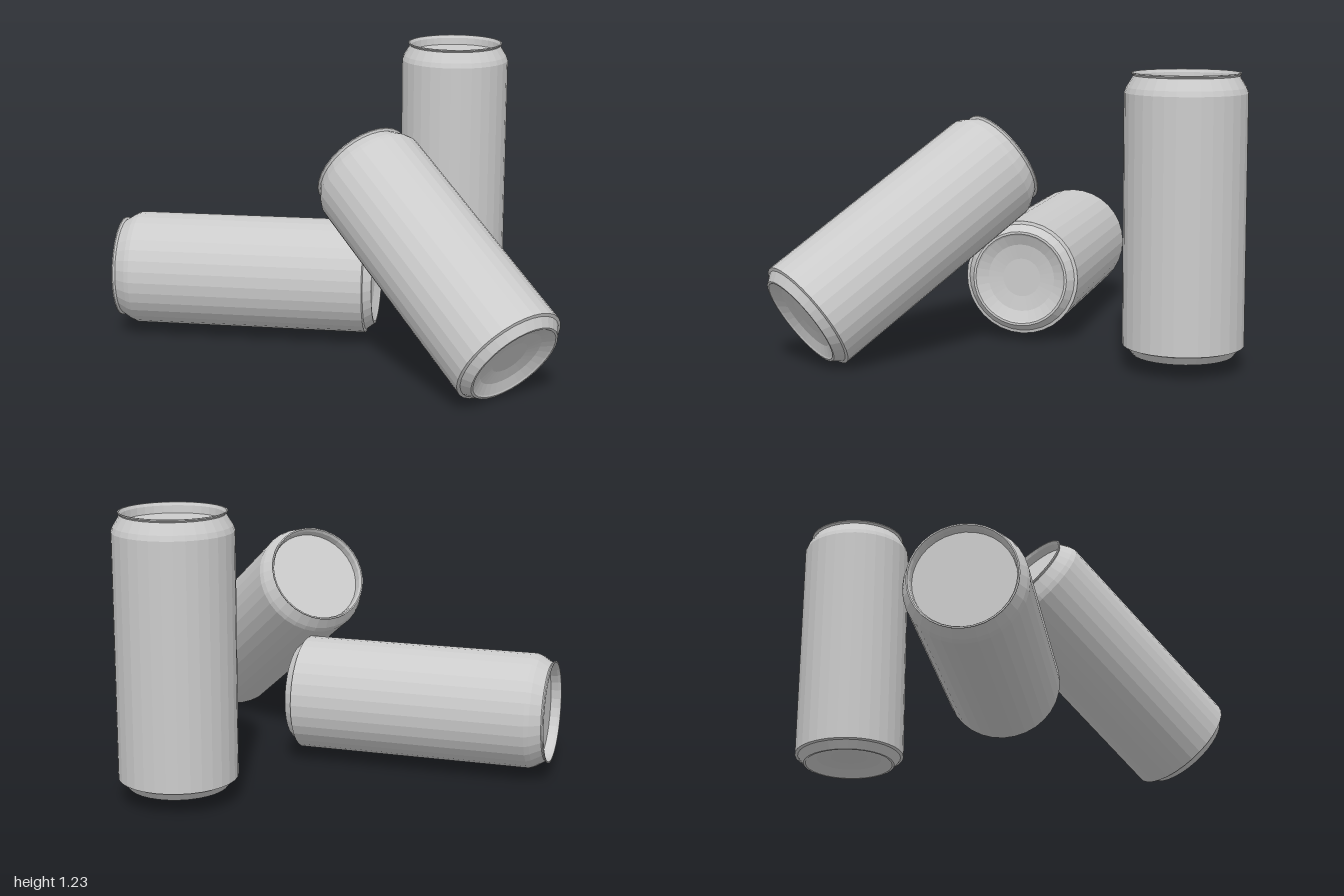
import * as THREE from 'three';

const SIDES = 32;
const material = new THREE.MeshStandardMaterial({ color: 0xcccccc, flatShading: true, side: THREE.DoubleSide });

// Turn a list of [radius, height] pairs into a named lathed part
function lathe(name, profile) {
  const points = profile.map(([r, y]) => new THREE.Vector2(r, y));
  const mesh = new THREE.Mesh(new THREE.LatheGeometry(points, SIDES), material);
  mesh.name = name;
  return mesh;
}

// One can with its base centre at the origin and its axis along +y
function createCan(name) {
  const can = new THREE.Group();
  can.name = name;
  can.add(
    // Dished base with a flat middle and a standing ring
    lathe('base', [[0, 0.035], [0.085, 0.035], [0.15, 0.026], [0.195, 0.005], [0.202, 0], [0.212, 0], [0.24, 0.036], [0.254, 0.04]]),
    // Straight wall and tapered shoulder
    lathe('body', [[0.254, 0.04], [0.254, 1.088], [0.246, 1.11], [0.217, 1.157]]),
    // Flared lip, turning in and down to the lid
    lathe('rim', [[0.217, 1.157], [0.225, 1.165], [0.225, 1.17], [0.219, 1.17], [0.212, 1.157], [0.209, 1.125]]),
    // Sunken lid
    lathe('lid', [[0.209, 1.125], [0, 1.125]])
  );
  return can;
}

export function createModel() {
  const model = new THREE.Group();
  model.name = 'cans';
  const up = new THREE.Vector3(0, 1, 0);

  // Base centre and axis direction of each can
  const placements = [
    ['standingCan', [0.45, 0.06, -0.745], [0, 1, 0]],
    ['lyingCan', [0.17, 0.285, 0.03], [-1, 0, 0]],
    ['tiltedCan', [0.822, 0.19, 0.806], [-0.608, 0.538, -0.584]],
  ];
  for (const [name, base, axis] of placements) {
    const can = createCan(name);
    can.position.set(...base);
    can.quaternion.setFromUnitVectors(up, new THREE.Vector3(...axis).normalize());
    model.add(can);
  }
  return model;
}
